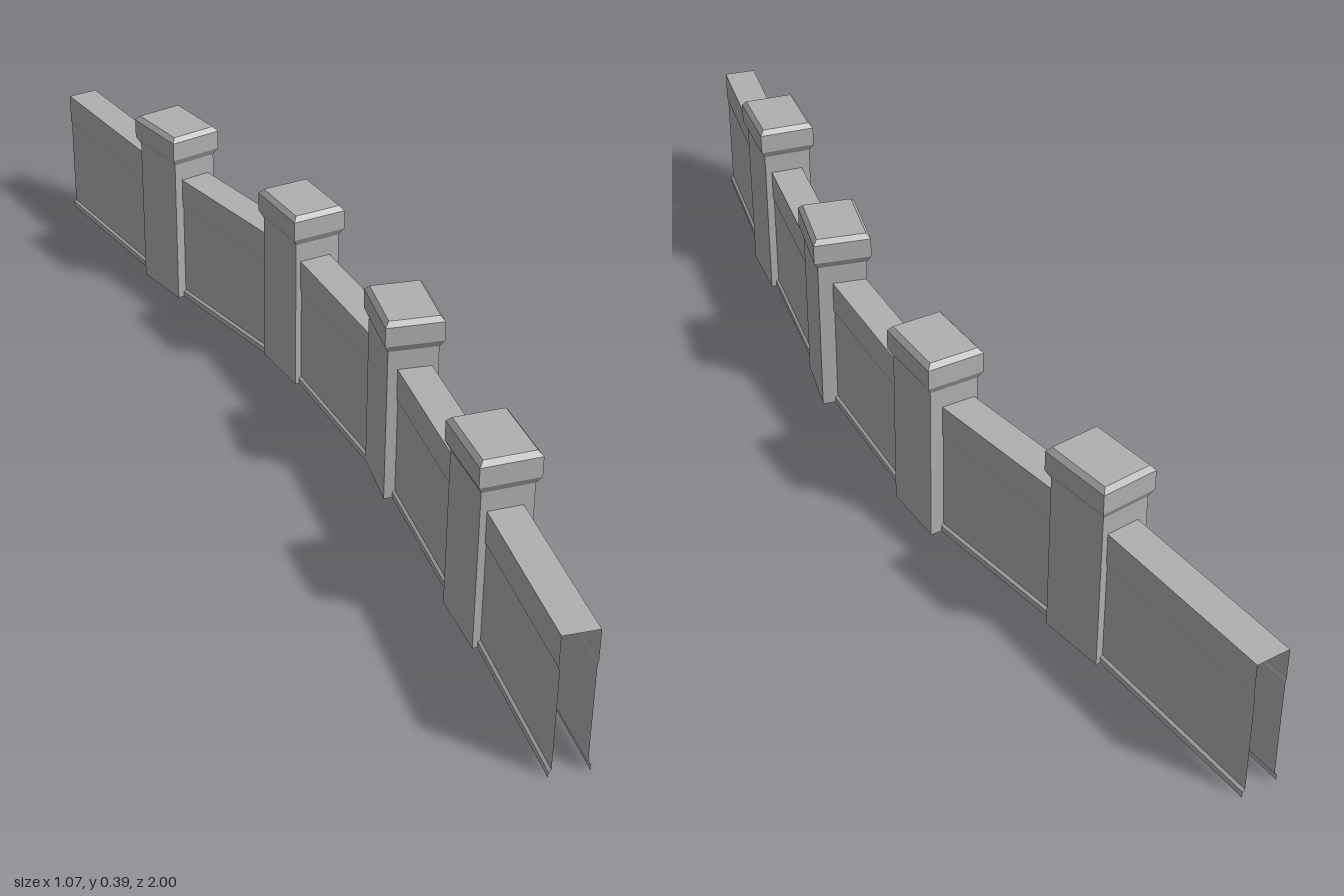
import * as THREE from 'three';

const stone = new THREE.MeshStandardMaterial({ color: 0xb0b0b0, side: THREE.DoubleSide });
stone.name = 'stone';

// Joins successive rings of points with flat-shaded quads
function loft(rings, closed) {
  const pos = [];
  const push = (...pts) => pts.forEach(p => pos.push(p.x, p.y, p.z));
  for (let i = 0; i < rings.length - 1; i++) {
    const lo = rings[i], hi = rings[i + 1], n = lo.length;
    for (let j = 0; j < (closed ? n : n - 1); j++) {
      const k = (j + 1) % n;
      if (!lo[j].equals(lo[k])) push(lo[j], lo[k], hi[k]);
      if (!hi[j].equals(hi[k])) push(lo[j], hi[k], hi[j]);
    }
  }
  const geo = new THREE.BufferGeometry();
  geo.setAttribute('position', new THREE.Float32BufferAttribute(pos, 3));
  geo.computeVertexNormals();
  return geo;
}

// Hollow wall panel: plinth, body and slightly wider coping, open below and at both ends
function wallGeometry(length) {
  const half = [[0.036, 0], [0.036, 0.012], [0.031, 0.016], [0.031, 0.217], [0.033, 0.222], [0.033, 0.285]];
  const profile = [...half.map(([x, y]) => [-x, y]), ...half.slice().reverse()];
  return loft([length / 2, -length / 2].map(z => profile.map(([x, y]) => new THREE.Vector3(x, y, z))), false);
}

// Pillar: plain shaft, flared cap block and chamfered top; levels are [half width, half length, y]
function pillarGeometry() {
  const levels = [
    [0, 0, 0], [0.049, 0.068, 0], [0.049, 0.068, 0.325], [0.057, 0.076, 0.34],
    [0.057, 0.076, 0.38], [0.049, 0.068, 0.39], [0, 0, 0.39],
  ];
  return loft(levels.map(([w, l, y]) =>
    [[1, 1], [1, -1], [-1, -1], [-1, 1]].map(([sx, sz]) => new THREE.Vector3(sx * w, y, sz * l))), true);
}

export function createModel() {
  const model = new THREE.Group();
  model.name = 'curvedWall';

  // Path of the wall: [x, z, pillar angle in degrees]; the two ends have no pillar
  const path = [
    [-0.507, 0.98], [-0.26, 0.653, 34], [0.014, 0.276, 39],
    [0.229, -0.131, 23.5], [0.35, -0.565, 16.5], [0.505, -0.989],
  ];
  const pillarGeo = pillarGeometry();

  path.forEach(([x, z, angle], i) => {
    if (angle !== undefined) {
      const pillar = new THREE.Mesh(pillarGeo, stone);
      pillar.name = 'pillar' + i;
      pillar.position.set(x, 0, z);
      pillar.rotation.y = -THREE.MathUtils.degToRad(angle);
      model.add(pillar);
    }
    if (i < path.length - 1) {
      const [nx, nz] = path[i + 1];
      const panel = new THREE.Mesh(wallGeometry(Math.hypot(nx - x, nz - z)), stone);
      panel.name = 'wallPanel' + (i + 1);
      panel.position.set((x + nx) / 2, 0, (z + nz) / 2);
      panel.rotation.y = -Math.atan2(nx - x, z - nz);
      model.add(panel);
    }
  });
  return model;
}
